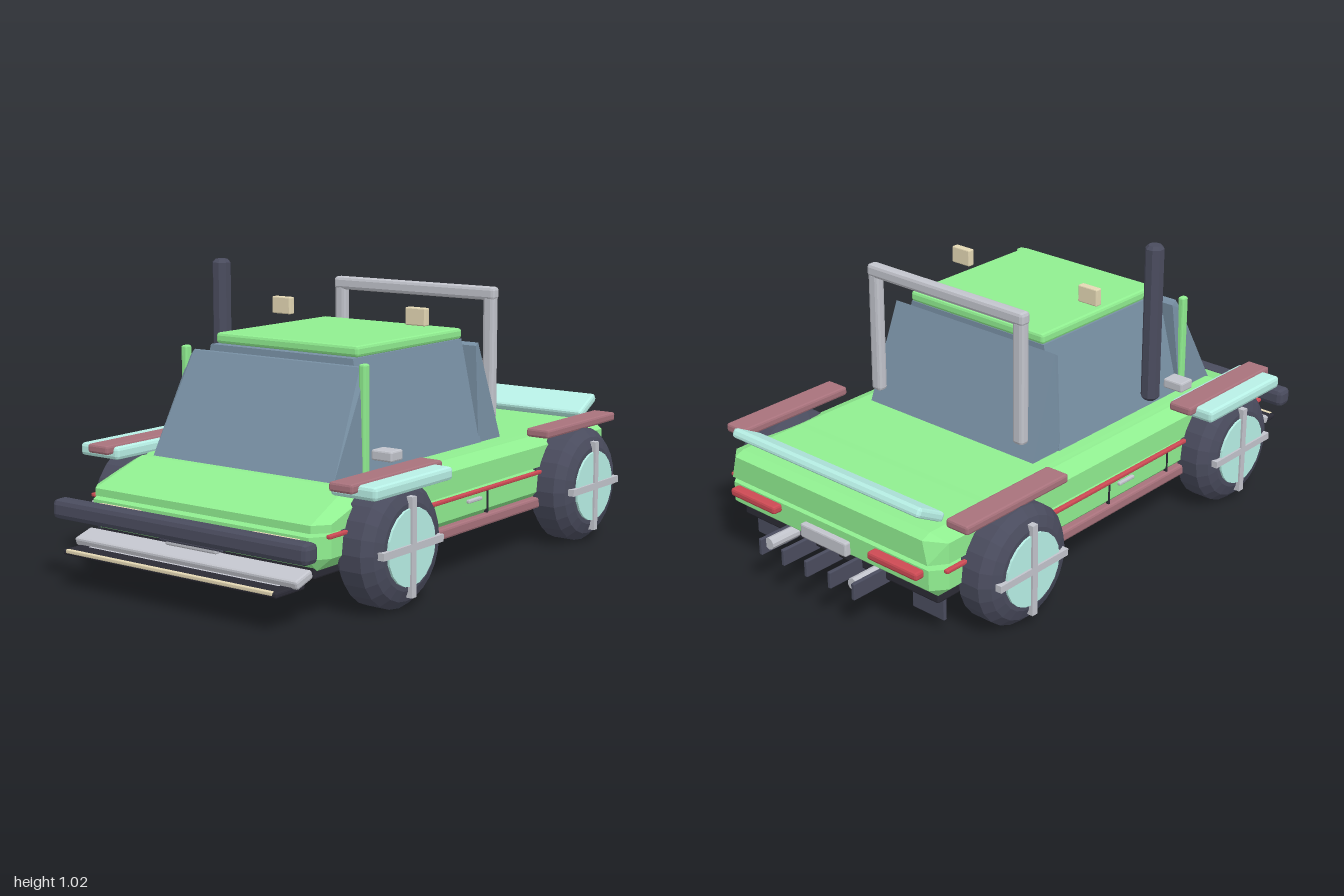
import * as THREE from 'three';
import { RoundedBoxGeometry } from 'three/addons/geometries/RoundedBoxGeometry.js';
import { ConvexGeometry } from 'three/addons/geometries/ConvexGeometry.js';

const paint = (color) => new THREE.MeshStandardMaterial({ color, flatShading: true });

export function createModel() {
  const car = new THREE.Group();
  car.name = 'offRoadCar';
  const green = paint(0x90ee90), cyan = paint(0xb8f0e6), mauve = paint(0xa8727c);
  const dark = paint(0x4a4c5e), glass = paint(0x7890a4), silver = paint(0xc2c4cc);
  const red = paint(0xcc4a54), tan = paint(0xe4d8b4), black = paint(0x2b2b35);

  const add = (name, geometry, material, parent = car) => {
    const mesh = new THREE.Mesh(geometry, material);
    mesh.name = name;
    parent.add(mesh);
    return mesh;
  };
  // Chamfered box given by its x, y and z ranges
  const box = (name, material, [x0, x1], [y0, y1], [z0, z1], chamfer = 0.006) => {
    const w = x1 - x0, h = y1 - y0, d = z1 - z0;
    const r = Math.min(chamfer, w * 0.3, h * 0.3, d * 0.3);
    const mesh = add(name, new RoundedBoxGeometry(w, h, d, 1, r), material);
    mesh.position.set((x0 + x1) / 2, (y0 + y1) / 2, (z0 + z1) / 2);
    return mesh;
  };
  // The same box on both sides of the car
  const pair = (name, material, [x0, x1], y, z, chamfer) => {
    box(name + 'Left', material, [x0, x1], y, z, chamfer);
    box(name + 'Right', material, [-x1, -x0], y, z, chamfer);
  };
  // Convex solid from the points of its left half
  const hull = (name, material, points) => add(name, new ConvexGeometry(
    points.flatMap(([x, y, z]) => [new THREE.Vector3(x, y, z), new THREE.Vector3(-x, y, z)])), material);

  // Body: sloping hood, shoulders and lower tub
  hull('upperBody', green, [
    [0.45, 0.28, 0.84], [0.49, 0.28, 0.79], [0.45, 0.305, 0.84], [0.49, 0.305, 0.79],
    [0.43, 0.385, 0.64], [0.49, 0.36, 0.62],
    [0.43, 0.385, -0.87], [0.49, 0.36, -0.85], [0.43, 0.37, -0.905],
    [0.45, 0.29, -0.905], [0.49, 0.29, -0.85]]);
  hull('lowerBody', green, [
    [0.45, 0.27, 0.85], [0.49, 0.27, 0.79], [0.45, 0.2, 0.85], [0.49, 0.2, 0.79], [0.45, 0.16, 0.81],
    [0.45, 0.27, -0.9], [0.49, 0.27, -0.85], [0.45, 0.2, -0.9], [0.49, 0.2, -0.85], [0.45, 0.165, -0.86]]);
  hull('topDeck', green, [
    [0.425, 0.38, 0.64], [0.415, 0.395, 0.62], [0.425, 0.38, -0.63], [0.415, 0.395, -0.61]]);
  box('underbody', black, [-0.45, 0.45], [0.135, 0.19], [-0.86, 0.82]);

  // Cab: tapered glass house, sloping windscreen, rear window and roof
  hull('cab', glass, [
    [0.38, 0.39, 0.45], [0.38, 0.39, -0.2], [0.3, 0.75, 0.43], [0.3, 0.75, -0.19]]);
  hull('windscreen', glass, [
    [0.38, 0.39, 0.635], [0.38, 0.39, 0.46], [0.36, 0.73, 0.44],
    [0.37, 0.7, 0.465], [0.35, 0.73, 0.46], [0.36, 0.72, 0.43]]);
  hull('rearWindow', glass, [
    [0.375, 0.39, -0.33], [0.375, 0.39, -0.19], [0.36, 0.74, -0.205], [0.36, 0.73, -0.19]]);
  box('roof', green, [-0.3, 0.3], [0.75, 0.787], [-0.195, 0.405], 0.01);
  pair('windscreenPost', green, [0.363, 0.387], [0.39, 0.745], [0.455, 0.485]);
  pair('mirror', silver, [0.375, 0.455], [0.432, 0.467], [0.37, 0.435]);
  pair('roofLamp', tan, [0.248, 0.328], [0.82, 0.88], [0.045, 0.072], 0.004);

  // Roll bar
  box('rollBarTop', silver, [-0.35, 0.35], [0.873, 0.92], [-0.355, -0.312], 0.012);
  pair('rollBarPost', silver, [0.303, 0.348], [0.455, 0.89], [-0.353, -0.314], 0.012);

  // Upright exhaust stack on the right side
  const stack = add('exhaustStack', new THREE.LatheGeometry(
    [[0, 0], [0.022, 0], [0.033, 0.012], [0.033, 0.548], [0.022, 0.56], [0, 0.56]]
      .map((p) => new THREE.Vector2(...p)), 8, Math.PI / 8), dark);
  stack.position.set(-0.43, 0.457, 0.222);

  // Mudguards
  pair('frontFender', cyan, [0.445, 0.618], [0.38, 0.424], [0.325, 0.74], 0.012);
  pair('frontFenderCap', mauve, [0.463, 0.553], [0.4, 0.431], [0.29, 0.77], 0.008);
  pair('rearFender', mauve, [0.463, 0.553], [0.4, 0.431], [-0.835, -0.36], 0.008);

  // Side trim and doors
  pair('sideStripe', red, [0.485, 0.502], [0.264, 0.277], [-0.87, 0.81]);
  pair('sill', mauve, [0.43, 0.497], [0.142, 0.18], [-0.45, 0.4], 0.008);
  pair('doorSeamFront', black, [0.48, 0.494], [0.185, 0.265], [0.247, 0.254]);
  pair('doorSeamRear', black, [0.48, 0.494], [0.185, 0.265], [-0.074, -0.067]);
  pair('doorHandle', silver, [0.48, 0.502], [0.238, 0.25], [-0.025, 0.055]);

  // Front end
  box('frontBumper', dark, [-0.53, 0.53], [0.213, 0.28], [0.898, 0.962], 0.018);
  pair('headlight', tan, [0.232, 0.42], [0.2, 0.262], [0.84, 0.868]);
  box('grille', dark, [-0.132, 0.132], [0.183, 0.255], [0.84, 0.882]);
  box('frontPlate', silver, [-0.107, 0.107], [0.172, 0.19], [0.84, 0.88]);
  const lowerBar = box('lowerBumper', silver, [-0.465, 0.465], [0.135, 0.165], [0.845, 0.925], 0.008);
  lowerBar.rotation.x = 0.3;
  box('skidPlate', silver, [-0.4, 0.4], [0.12, 0.132], [0.72, 0.93]);
  box('splitter', black, [-0.445, 0.445], [0.113, 0.131], [0.86, 0.997]);
  box('splitterTrim', tan, [-0.43, 0.43], [0.12, 0.133], [0.985, 1.0], 0.003);

  // Rear end
  const spoiler = box('spoiler', cyan, [-0.428, 0.428], [0.42, 0.453], [-0.92, -0.795], 0.01);
  spoiler.rotation.x = 0.5;
  pair('tailLight', red, [0.215, 0.43], [0.238, 0.266], [-0.935, -0.895], 0.008);
  box('rearPlate', silver, [-0.105, 0.105], [0.195, 0.245], [-0.922, -0.89]);
  for (let i = -2; i <= 2; i++) {
    const x = i * 0.108;
    box('diffuserFin', dark, [x - 0.007, x + 0.007], [0.12, 0.178], [-1.0, -0.84], 0.003);
  }
  for (const side of [1, -1]) {
    const pipe = add('exhaustPipe', new THREE.CylinderGeometry(0.021, 0.021, 0.13, 10), silver);
    pipe.rotation.x = Math.PI / 2;
    pipe.position.set(side * 0.195, 0.16, -0.915);
  }
  pair('mudFlap', dark, [0.3, 0.437], [0.052, 0.17], [-0.822, -0.808], 0.003);

  // Wheels: chamfered tyre, hub disc and crossed spokes, axis along x
  const tyreProfile = [[0, -0.083], [0.14, -0.083], [0.175, -0.07], [0.203, -0.04],
    [0.203, 0.04], [0.175, 0.07], [0.14, 0.083], [0, 0.083]].map((p) => new THREE.Vector2(...p));
  for (const [place, z] of [['front', 0.535], ['rear', -0.594]]) {
    for (const side of [1, -1]) {
      const wheel = new THREE.Group();
      wheel.name = place + (side > 0 ? 'LeftWheel' : 'RightWheel');
      wheel.position.set(side * 0.518, 0.203, z);
      wheel.rotation.z = -side * Math.PI / 2;
      add('tyre', new THREE.LatheGeometry(tyreProfile, 24), dark, wheel);
      add('hub', new THREE.CylinderGeometry(0.125, 0.125, 0.02, 20), cyan, wheel).position.y = 0.081;
      add('spokeUpright', new THREE.BoxGeometry(0.32, 0.024, 0.024), silver, wheel).position.y = 0.086;
      add('spokeAcross', new THREE.BoxGeometry(0.024, 0.024, 0.32), silver, wheel).position.y = 0.086;
      car.add(wheel);
    }
  }
  return car;
}
